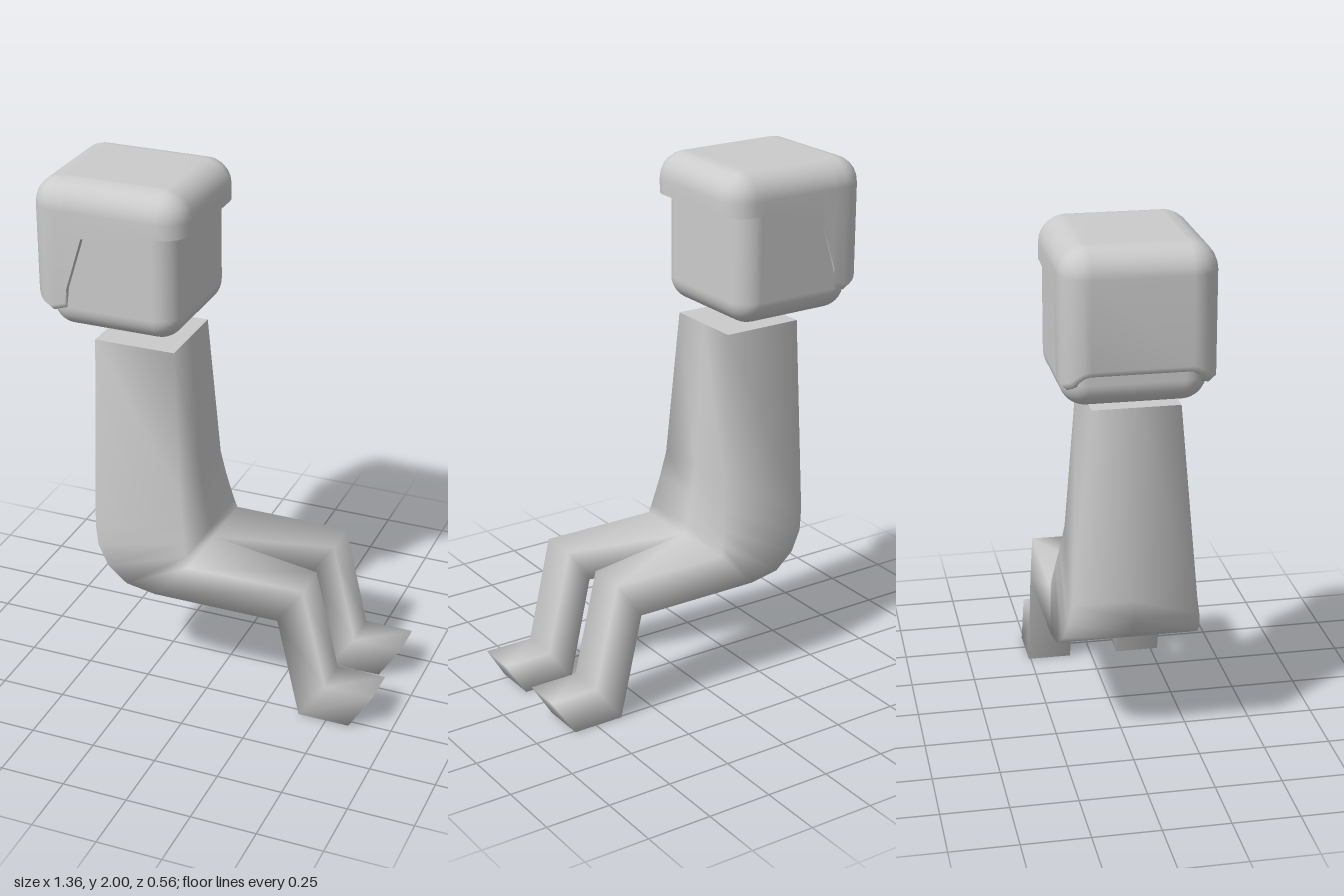
import * as THREE from 'three';
import { mergeVertices } from 'three/addons/utils/BufferGeometryUtils.js';
import { RoundedBoxGeometry } from 'three/addons/geometries/RoundedBoxGeometry.js';

const material = new THREE.MeshStandardMaterial({ color: 0xcccccc });

// Triangles skinning a series of equal-length loops, optionally capped.
function loft(loops, { start = false, end = false } = {}) {
  const tris = [];
  for (let k = 0; k < loops.length - 1; k++) {
    const up = loops[k], low = loops[k + 1], n = up.length;
    for (let i = 0; i < n; i++) {
      const j = (i + 1) % n;
      tris.push(up[i], low[i], low[j], up[i], low[j], up[j]);
    }
  }
  const fan = (loop, flip) => {
    for (let i = 1; i < loop.length - 1; i++) {
      tris.push(loop[0], loop[flip ? i + 1 : i], loop[flip ? i : i + 1]);
    }
  };
  if (start) fan(loops[0], false);
  if (end) fan(loops[loops.length - 1], true);
  return tris;
}

// Smooth mesh from a list of triangle corners.
function smoothMesh(name, tris) {
  let geometry = new THREE.BufferGeometry();
  geometry.setAttribute('position', new THREE.Float32BufferAttribute(tris.flat(), 3));
  geometry = mergeVertices(geometry, 1e-4);
  geometry.computeVertexNormals();
  const mesh = new THREE.Mesh(geometry, material);
  mesh.name = name;
  return mesh;
}

// Seated body: torso bending at the hips into two legs.
function createBody() {
  const group = new THREE.Group();
  group.name = 'body';

  // front x, y, half width, then back x, y, half width
  const torso = [
    [-0.155, 1.375, 0.16, -0.47, 1.375, 0.16],
    [-0.12, 0.8, 0.2, -0.46, 0.63, 0.23],
    [-0.105, 0.7, 0.218, -0.445, 0.55, 0.243],
    [-0.092, 0.63, 0.232, -0.4, 0.475, 0.255],
    [-0.08, 0.575, 0.242, -0.32, 0.418, 0.265],
    [-0.07, 0.535, 0.25, -0.2, 0.4, 0.27],
  ].map(([fx, fy, fz, bx, by, bz]) => [
    [fx, fy, fz], [fx, fy, 0], [fx, fy, -fz],
    [bx, by, -bz], [bx, by, 0], [bx, by, bz],
  ]);
  const tris = loft(torso);

  // top x, y, half width, bottom x, y, half width, inner z: hip, knee, ankle, toe
  const leg = [
    [-0.07, 0.535, 0.25, -0.2, 0.4, 0.27, 0],
    [0.39, 0.535, 0.247, 0.3, 0.4, 0.27, 0.097],
    [0.485, 0.135, 0.245, 0.39, 0, 0.268, 0.097],
    [0.675, 0.135, 0.245, 0.59, 0, 0.268, 0.097],
  ];
  for (const side of [1, -1]) {
    const loops = leg.map(([tx, ty, tz, bx, by, bz, inner]) => {
      const loop = [
        [tx, ty, side * tz], [tx, ty, side * inner],
        [bx, by, side * inner], [bx, by, side * bz],
      ];
      return side > 0 ? loop : loop.reverse();
    });
    tris.push(...loft(loops, { end: true }));
  }

  group.add(smoothMesh('torsoAndLegs', tris));
  group.add(smoothMesh('neckCap', loft([torso[0]], { start: true })));
  group.position.z = 0.01;
  return group;
}

// Piecewise linear height of the hair's lower edge along x.
const hairEdge = [
  [-0.68, 1.56], [-0.655, 1.52], [-0.61, 1.5], [-0.545, 1.52],
  [-0.535, 1.6], [-0.47, 1.805], [-0.22, 1.845], [-0.08, 1.845],
];
function edgeHeight(x) {
  let i = 1;
  while (i < hairEdge.length - 1 && x > hairEdge[i][0]) i++;
  const [x0, y0] = hairEdge[i - 1], [x1, y1] = hairEdge[i];
  return y0 + (y1 - y0) * THREE.MathUtils.clamp((x - x0) / (x1 - x0), 0, 1);
}

// Rounded cap of hair, long at the back and short over the face.
function createHair() {
  const group = new THREE.Group();
  group.name = 'hair';
  const R = 0.1, top = 2, cx = -0.38, cz = -0.012, hx = 0.3, hz = 0.273;
  const sideX = [-0.22, -0.35, -0.47, -0.535, -0.545];

  // Rounded rectangle; inset and height depend on the outer x of each point.
  const ring = (inset, height) => {
    const pts = [];
    const add = (px, pz, dx, dz) => {
      const x = px + dx * R, r = R - inset(x);
      pts.push([px + dx * r, height(x), pz + dz * r]);
    };
    for (let c = 0; c < 4; c++) {
      const sx = c < 2 ? 1 : -1, sz = c === 0 || c === 3 ? 1 : -1;
      for (let i = 0; i <= 6; i++) {
        const a = (c - 1 + i / 6) * Math.PI / 2;
        add(cx + sx * (hx - R), cz + sz * (hz - R), Math.cos(a), -Math.sin(a));
      }
      if (c === 1) sideX.forEach((x) => add(x, cz - hz + R, 0, -1));
      if (c === 3) [...sideX].reverse().forEach((x) => add(x, cz + hz - R, 0, 1));
    }
    return pts;
  };

  const loops = [];
  for (let i = 0; i <= 6; i++) {
    const a = (i / 6) * Math.PI / 2;
    loops.push(ring(() => R * (1 - Math.sin(a)), () => top - R * (1 - Math.cos(a))));
  }
  // The long back part curls inward at its lower edge.
  const curl = (x) => (x < -0.54 ? 0.025 : 0);
  loops.push(ring(() => 0, (x) => edgeHeight(x) + curl(x)));
  const bottom = ring(curl, edgeHeight);
  loops.push(bottom);

  group.add(smoothMesh('hairShell', loft(loops, { start: true })));
  group.add(smoothMesh('hairRim', loft([bottom, ring(() => 0.08, edgeHeight)])));
  return group;
}

export function createModel() {
  const model = new THREE.Group();
  model.name = 'seatedFigure';

  const head = new THREE.Mesh(new RoundedBoxGeometry(0.51, 0.51, 0.513, 5, 0.09), material);
  head.name = 'head';
  head.position.set(-0.375, 1.685, -0.02);

  model.add(head, createHair(), createBody());
  return model;
}
